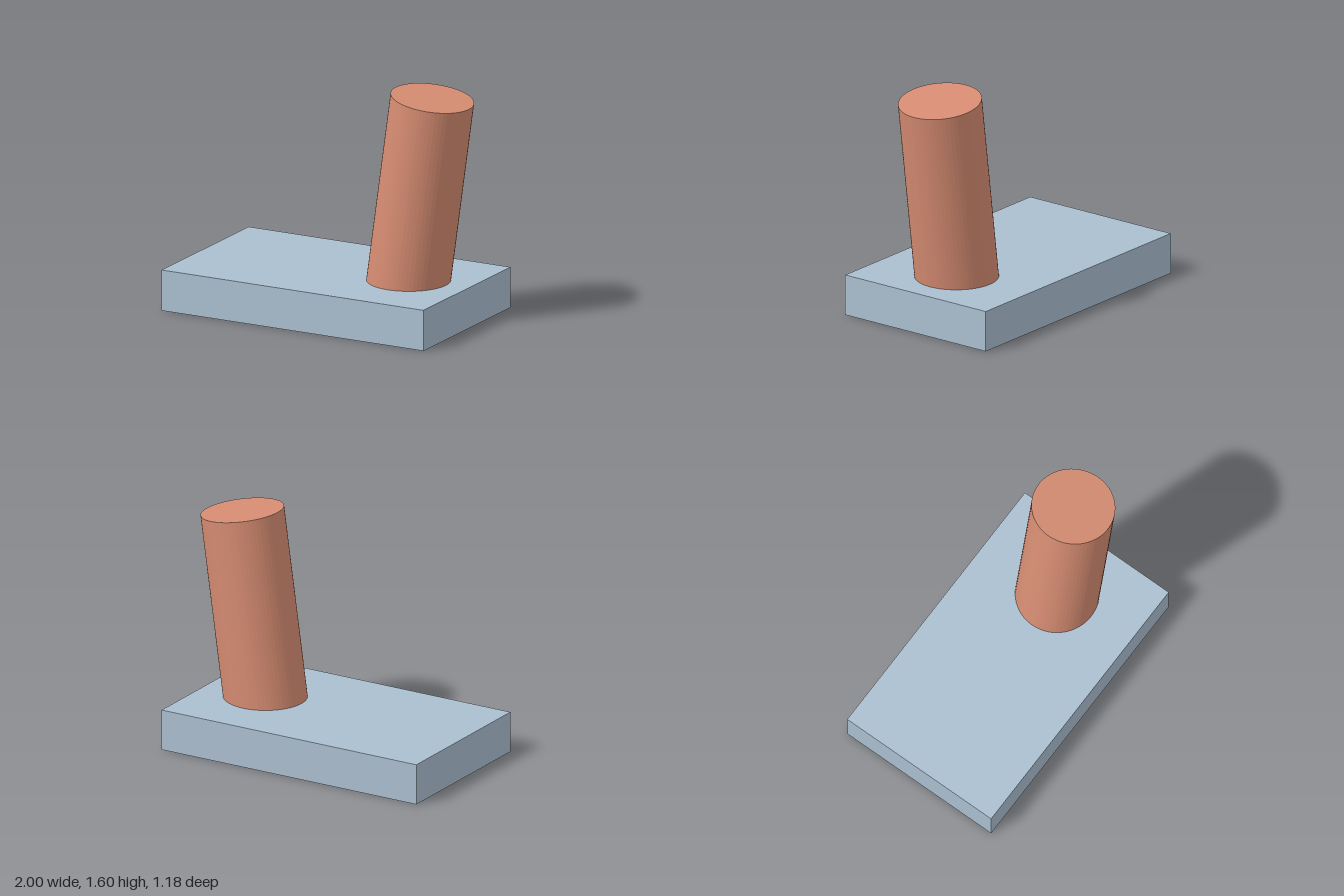
import * as THREE from 'three';

export function createModel() {
  const model = new THREE.Group();
  const blueGrey = new THREE.MeshStandardMaterial({ color: 0xabbfd0 });
  blueGrey.name = 'blueGrey';
  const terracotta = new THREE.MeshStandardMaterial({ color: 0xd68c72, flatShading: true });
  terracotta.name = 'terracotta';

  // Flat rectangular slab standing on the ground
  const base = new THREE.Mesh(new THREE.BoxGeometry(1.985, 0.28, 1.184), blueGrey);
  base.name = 'base';
  base.position.set(-0.0075, 0.14, 0);
  model.add(base);

  // Leaning post, its foot sunk into the slab
  const tilt = THREE.MathUtils.degToRad(8);
  const length = 1.43;
  const post = new THREE.Mesh(new THREE.CylinderGeometry(0.279, 0.279, length, 64), terracotta);
  post.name = 'leaningPost';
  post.rotation.z = -tilt;
  post.position.set(
    0.723 - Math.sin(tilt) * length / 2,
    1.557 - Math.cos(tilt) * length / 2,
    0
  );
  model.add(post);

  return model;
}
